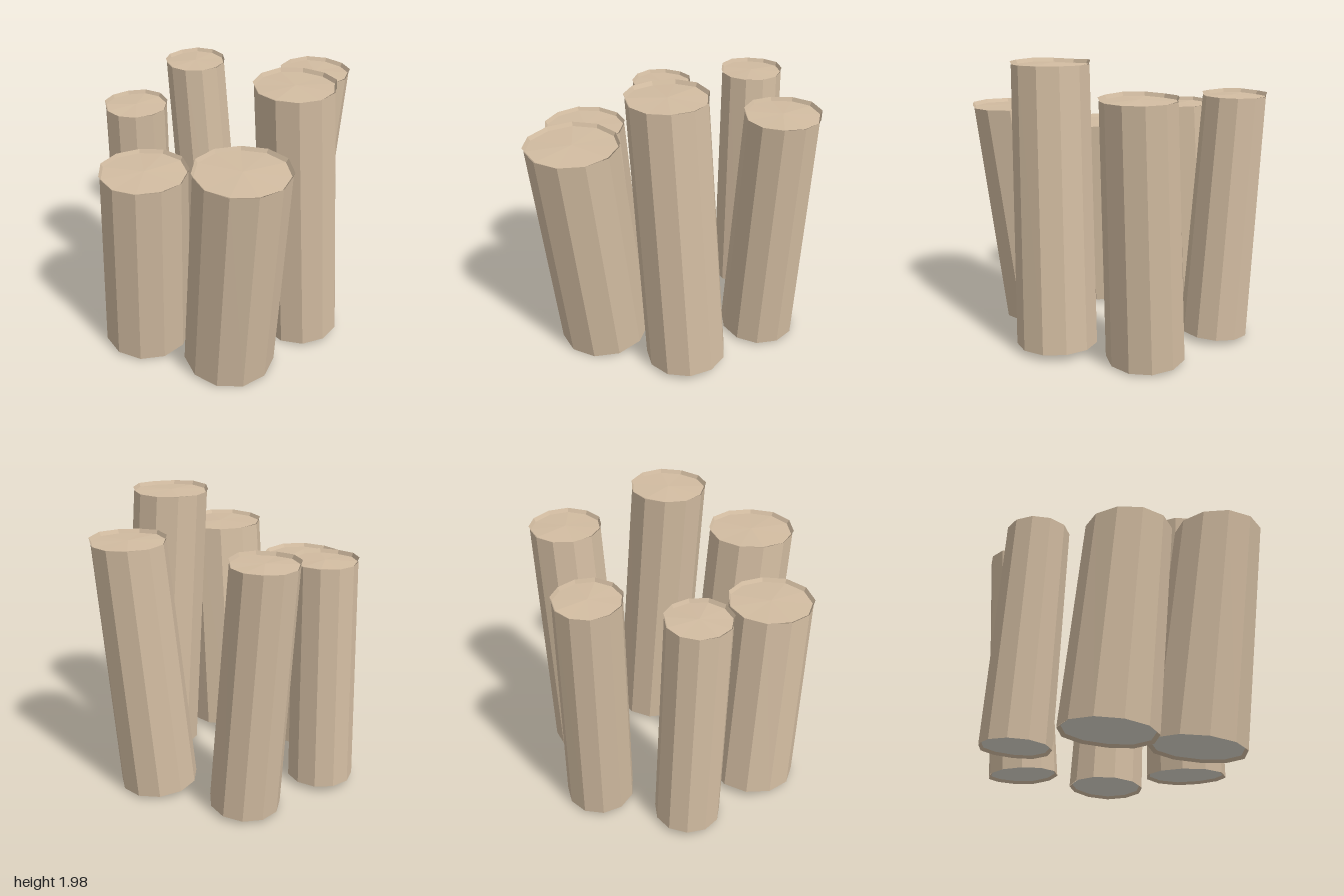
import * as THREE from 'three';

const SIDES = 11;

// Leaning faceted surface from [radius, height] pairs. Feet are cut square to the lean, tops are nearly level.
function ring(points, post, wobble = 0) {
  const { L, sx, sz, phase, reach } = post;
  const geo = new THREE.LatheGeometry(points.map(([r, y]) => new THREE.Vector2(r, y)), SIDES, phase);
  const p = geo.attributes.position;
  for (let i = 0; i < p.count; i++) {
    const x = p.getX(i), y = p.getY(i), z = p.getZ(i);
    const tilt = THREE.MathUtils.lerp(0.8, 0.15, y / L) * (sx * x + sz * z);
    const wave = wobble * (Math.hypot(x, z) / reach) * Math.sin(3 * Math.atan2(z, x) + phase * 5);
    p.setXYZ(i, x + sx * y, y - tilt + wave, z + sz * y);
  }
  const flat = geo.toNonIndexed();
  flat.computeVertexNormals();
  return flat;
}

export function createModel() {
  const wood = new THREE.MeshStandardMaterial({ color: 0xd2bca1, flatShading: true, side: THREE.DoubleSide });
  wood.name = 'wood';
  const woodEnd = new THREE.MeshStandardMaterial({ color: 0xd2bca1, flatShading: true });
  woodEnd.name = 'wood end';
  const underside = new THREE.MeshStandardMaterial({ color: 0xe2ded2, flatShading: true });
  underside.name = 'pale grey underside';

  // Each post: bottom centre, bottom radius, top centre, top radius
  const posts = [
    ['frontLeftPost', [-0.36, 0.035, 0.48], 0.32, [-0.41, 1.635, 0.69], 0.308],
    ['sideLeftPost', [-0.69, 0.03, -0.09], 0.308, [-0.715, 1.452, 0.04], 0.292],
    ['backLeftPost', [-0.365, 0.028, -0.665], 0.232, [-0.395, 1.622, -0.585], 0.222],
    ['backRightPost', [0.3, 0.028, -0.667], 0.242, [0.25, 1.752, -0.785], 0.223],
    ['sideRightPost', [0.635, 0.027, -0.08], 0.27, [0.755, 1.793, 0.005], 0.25],
    ['frontRightPost', [0.3, 0.03, 0.48], 0.282, [0.16, 1.977, 0.475], 0.266],
  ];

  const model = new THREE.Group();
  model.name = 'leaningPosts';
  posts.forEach(([name, bottom, rb, top, rt], i) => {
    const L = top[1] - bottom[1];
    const shape = {
      L, phase: 0.25 + i * 0.17, reach: rt,
      sx: (top[0] - bottom[0]) / L, sz: (top[2] - bottom[2]) / L,
    };
    const post = new THREE.Group();
    post.name = name;
    post.position.set(...bottom);
    const add = (part, mat, points, wobble) => {
      const m = new THREE.Mesh(ring(points, shape, wobble), mat);
      m.name = part;
      post.add(m);
    };
    // Tapered shaft
    add('shaft', wood, [[rb, 0.004], [rt * 0.985, L - 0.024]]);
    // Shallow dished top with a slightly uneven lip
    add('topCap', woodEnd, [[rt * 1.01, L], [rt * 0.96, L - 0.026], [0, L - 0.016]], 0.004);
    // Inner lip and recessed disc under the post
    add('bottomLip', woodEnd, [[rb * 0.93, 0.018], [rb, 0]], 0.003);
    add('bottomCap', underside, [[0, 0.012], [rb * 0.93, 0.018]], 0.003);
    model.add(post);
  });
  return model;
}
